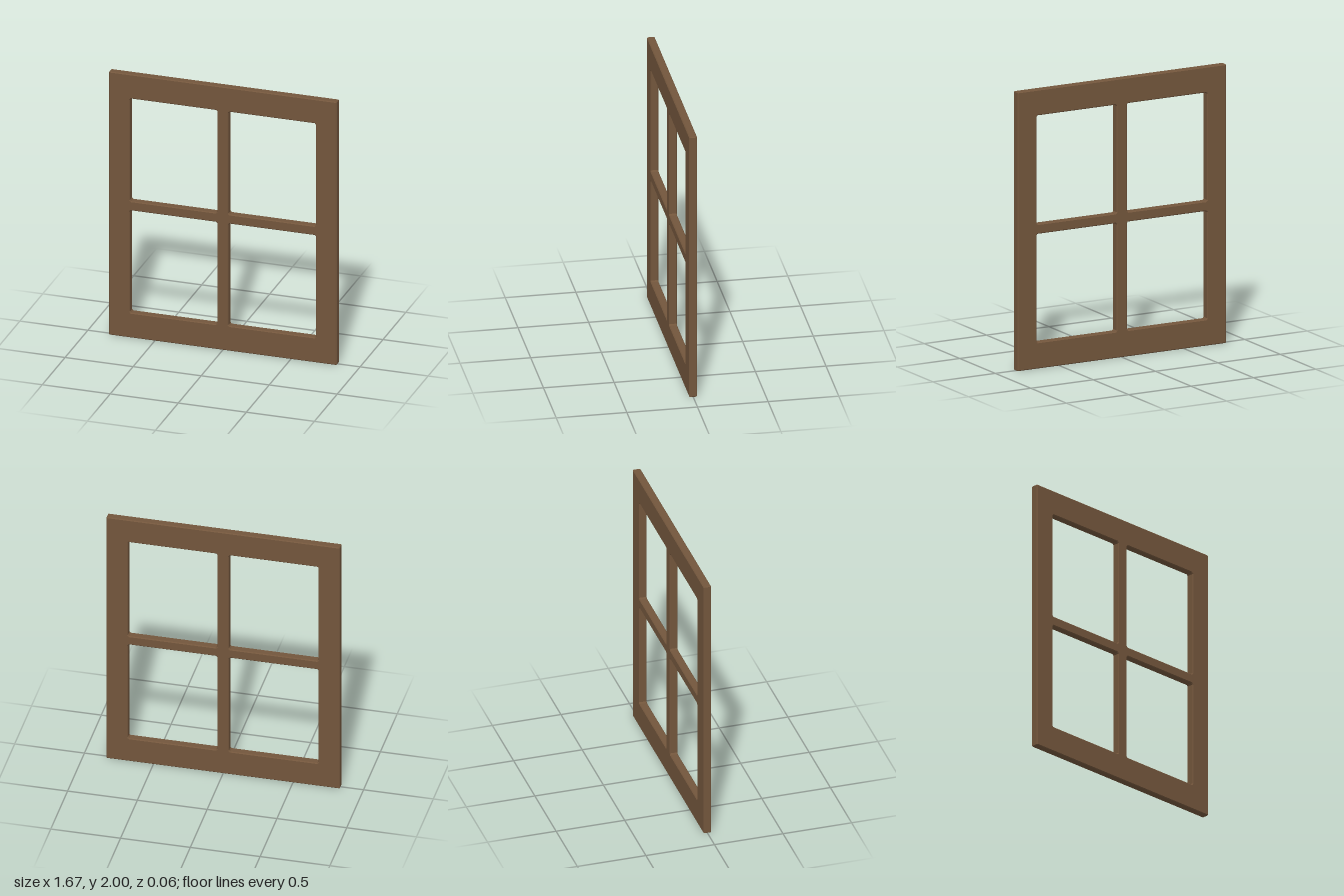
import * as THREE from 'three';

const WIDTH = 1.672, HEIGHT = 2, DEPTH = 0.056, BEVEL = 0.006;

// Rectangle with slightly clipped corners, as a list of points
function clippedRect(x0, y0, x1, y1, c) {
  return [
    [x0 + c, y0], [x1 - c, y0], [x1, y0 + c], [x1, y1 - c],
    [x1 - c, y1], [x0 + c, y1], [x0, y1 - c], [x0, y0 + c],
  ].map(([x, y]) => new THREE.Vector2(x, y));
}

export function createModel() {
  const group = new THREE.Group();
  group.name = 'windowFrame';
  const wood = new THREE.MeshStandardMaterial({ color: 0x73563c });

  // Outer frame outline
  const outline = new THREE.Shape(clippedRect(-WIDTH / 2, 0, WIDTH / 2, HEIGHT, 0.004));

  // Four pane openings, leaving the crossed glazing bars
  for (const [x0, x1] of [[-0.683, -0.042], [0.042, 0.683]]) {
    for (const [y0, y1] of [[0.188, 0.966], [1.036, 1.816]]) {
      outline.holes.push(new THREE.Path(clippedRect(x0, y0, x1, y1, 0.009)));
    }
  }

  // Chamfered slab, centred on z = 0
  const geometry = new THREE.ExtrudeGeometry(outline, {
    depth: DEPTH - 2 * BEVEL,
    bevelEnabled: true,
    bevelThickness: BEVEL,
    bevelSize: BEVEL,
    bevelOffset: -BEVEL,
    bevelSegments: 1,
  });
  geometry.translate(0, 0, BEVEL - DEPTH / 2);

  const frame = new THREE.Mesh(geometry, wood);
  frame.name = 'frameAndGlazingBars';
  group.add(frame);
  return group;
}
